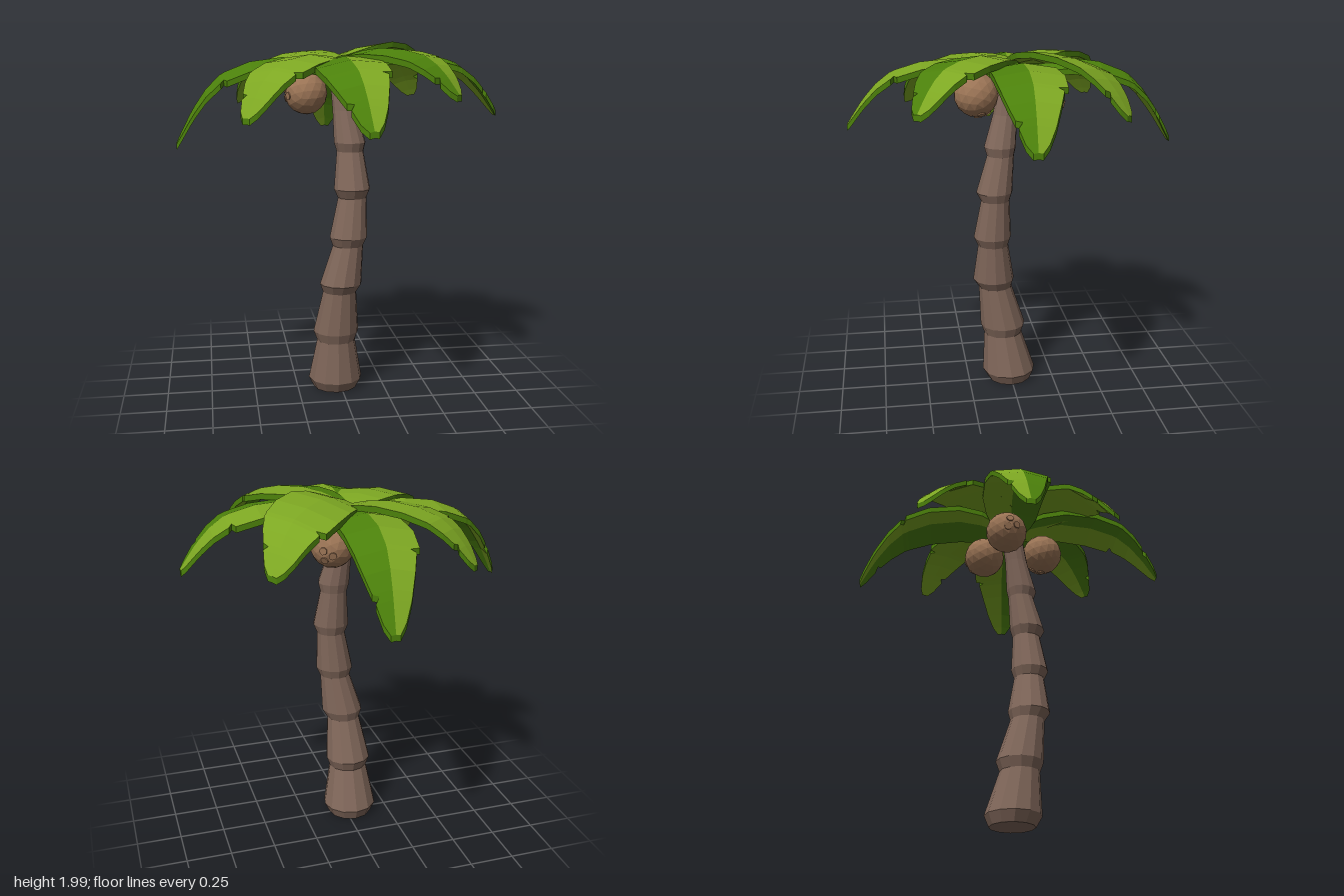
import * as THREE from 'three';

const mat = (name, color) => Object.assign(new THREE.MeshStandardMaterial({ color }), { name });

// Non-indexed geometry from triangle lists, so every facet stays flat
function flatGeometry(...lists) {
  const g = new THREE.BufferGeometry();
  let start = 0;
  lists.forEach((list, i) => {
    g.addGroup(start, list.length, i);
    start += list.length;
  });
  g.setFromPoints(lists.flat());
  g.computeVertexNormals();
  return g;
}

// Trunk rings: height, centre x, centre z, radius
const RINGS = [
  [0, -0.03, 0.005, 0.125], [0.06, -0.03, 0.01, 0.155],
  [0.3, -0.03, 0.045, 0.11], [0.355, -0.03, 0.045, 0.13],
  [0.6, -0.015, 0.09, 0.095], [0.65, -0.01, 0.1, 0.118],
  [0.87, 0.03, 0.106, 0.086], [0.92, 0.032, 0.11, 0.106],
  [1.14, 0.055, 0.095, 0.08], [1.19, 0.053, 0.1, 0.101],
  [1.395, 0.047, 0.064, 0.075], [1.445, 0.045, 0.066, 0.088],
  [1.62, 0.02, 0.035, 0.066], [1.84, 0, 0, 0.06],
];

function trunkGeometry(sides = 12) {
  const rings = RINGS.map(([y, x, z, r]) => Array.from({ length: sides }, (_, i) => {
    const a = (i / sides) * Math.PI * 2;
    return new THREE.Vector3(x + r * Math.sin(a), y, z + r * Math.cos(a));
  }));
  const tris = [];
  for (let k = 0; k < rings.length - 1; k++) {
    for (let i = 0; i < sides; i++) {
      const j = (i + 1) % sides, A = rings[k], B = rings[k + 1];
      tris.push(A[i], A[j], B[j], A[i], B[j], B[i]);
    }
  }
  const low = rings[0], high = rings[rings.length - 1];
  for (let i = 1; i < sides - 1; i++) {
    tris.push(low[0], low[i + 1], low[i], high[0], high[i], high[i + 1]);
  }
  return flatGeometry(tris);
}

// Leaf stations: distance along, arch height, half width on the torn side and on the other side
const STATIONS = [
  [0, -0.055, 0.25, 0.25], [0.12, -0.012, 0.7, 0.7], [0.2, 0.013, 0.88, 0.88],
  [0.35, 0.032, 1, 1.02], [0.55, 0.008, 1.06, 1.02], [0.7, -0.045, 1.02, 0.94],
  [0.715, -0.053, 0.72, 0.92], [0.735, -0.063, 0.88, 0.91], [0.82, -0.14, 0.74, 0.76],
  [0.885, -0.225, 0.6, 0.58], [0.895, -0.24, 0.58, 0.38], [0.915, -0.27, 0.53, 0.5],
  [0.97, -0.365, 0.33, 0.33], [1, -0.42, 0.14, 0.14],
];

// One half of a leaf, pointing along +z; group 0 is the blade, group 1 the rim
function halfLeaf(side, { length, base, drop, lift, ridge, roll, bow }) {
  const thick = 0.032;
  const rings = STATIONS.map(([t, h, torn, plain]) => {
    const w = side * 0.17 * (side > 0 ? torn : plain);
    const x = bow * Math.sin(Math.PI * t);
    const y = base + h * drop + lift * t;
    const edge = y - ridge * Math.abs(w) - roll * w;
    return [[x, y], [x + w, edge], [x + w, edge - thick], [x, y - thick]]
      .map(([px, py]) => new THREE.Vector3(px, py, t * length));
  });
  const blade = [], rim = [];
  const quad = (list, a, b, c, d) =>
    side > 0 ? list.push(a, b, c, a, c, d) : list.push(a, c, b, a, d, c);
  for (let i = 0; i < rings.length - 1; i++) {
    const A = rings[i], B = rings[i + 1];
    for (let j = 0; j < 3; j++) quad(j === 1 ? rim : blade, A[j], B[j], B[j + 1], A[j + 1]);
  }
  const first = rings[0], last = rings[rings.length - 1];
  quad(rim, first[0], first[1], first[2], first[3]);
  quad(rim, last[0], last[3], last[2], last[1]);
  return flatGeometry(blade, rim);
}

export function createModel() {
  const bark = mat('bark brown', 0x80675a);
  const shell = mat('coconut brown', 0x9c7556);
  const light = mat('light leaf green', 0x7da722);
  const dark = mat('dark leaf green', 0x4c810b);

  const tree = new THREE.Group();
  tree.name = 'palmTree';
  const add = (parent, name, geometry, material) => {
    const m = new THREE.Mesh(geometry, material);
    m.name = name;
    parent.add(m);
    return m;
  };

  add(tree, 'trunk', trunkGeometry(), bark);

  // Crown: leaves one eighth of a turn apart, starting at the front
  const crown = new THREE.Group();
  crown.name = 'crown';
  tree.add(crown);
  [
    { length: 0.885, base: 1.89, drop: 0.75, lift: 0.015, ridge: 0.16, roll: -0.08, bow: -0.035, yaw: 0.034, left: light, right: dark },
    { length: 0.75, base: 1.93, drop: 0.55, lift: 0.03, ridge: 0.12, roll: -0.05, bow: 0, yaw: 0, left: light, right: dark },
    { length: 0.89, base: 1.9, drop: 0.76, lift: 0.03, ridge: 0.16, roll: 0, bow: 0.02, yaw: 0, left: light, right: dark },
    { length: 0.74, base: 1.945, drop: 0.6, lift: 0, ridge: 0.08, roll: 0.22, bow: 0, yaw: 0, left: light, right: light },
    { length: 0.89, base: 1.885, drop: 0.95, lift: -0.01, ridge: 0.2, roll: 0, bow: 0.035, yaw: -0.034, left: light, right: dark },
    { length: 0.75, base: 1.92, drop: 0.6, lift: -0.01, ridge: 0.1, roll: 0.12, bow: 0, yaw: 0, left: light, right: light },
    { length: 0.9, base: 1.875, drop: 1, lift: 0, ridge: 0.2, roll: 0.04, bow: -0.03, yaw: 0.04, left: dark, right: light },
    { length: 0.77, base: 1.92, drop: 0.6, lift: -0.04, ridge: 0.12, roll: 0, bow: 0, yaw: 0, left: light, right: light },
  ].forEach((shape, i) => {
    const leaf = new THREE.Group();
    leaf.name = 'leaf';
    leaf.rotation.y = (i * Math.PI) / 4 + shape.yaw;
    add(leaf, 'leafLeftHalf', halfLeaf(1, shape), [shape.left, dark]);
    add(leaf, 'leafRightHalf', halfLeaf(-1, shape), [shape.right, dark]);
    crown.add(leaf);
  });

  // Coconuts: position, then the direction their three eyes face
  const radius = 0.119;
  const up = new THREE.Vector3(0, 1, 0);
  const shellGeometry = new THREE.IcosahedronGeometry(radius, 2);
  shellGeometry.computeVertexNormals();
  [
    [[0.1, 1.742, 0.2], [0.3, -0.9, -0.25]],
    [[0.115, 1.715, -0.155], [0.5, -0.25, -0.8]],
    [[-0.185, 1.71, -0.04], [-0.95, -0.05, 0.2]],
  ].forEach(([position, facing]) => {
    const nut = new THREE.Group();
    nut.name = 'coconut';
    nut.position.set(...position);
    nut.quaternion.setFromUnitVectors(up, new THREE.Vector3(...facing).normalize());
    add(nut, 'coconutShell', shellGeometry, shell);
    for (let i = 0; i < 3; i++) {
      const a = (i * Math.PI * 2) / 3;
      const n = new THREE.Vector3(0.28 * Math.sin(a), 1, 0.28 * Math.cos(a)).normalize();
      const eye = add(nut, 'coconutEye', new THREE.CylinderGeometry(0.021, 0.021, 0.009, 8), shell);
      eye.position.copy(n).multiplyScalar(radius - 0.002);
      eye.quaternion.setFromUnitVectors(up, n);
    }
    tree.add(nut);
  });

  return tree;
}
